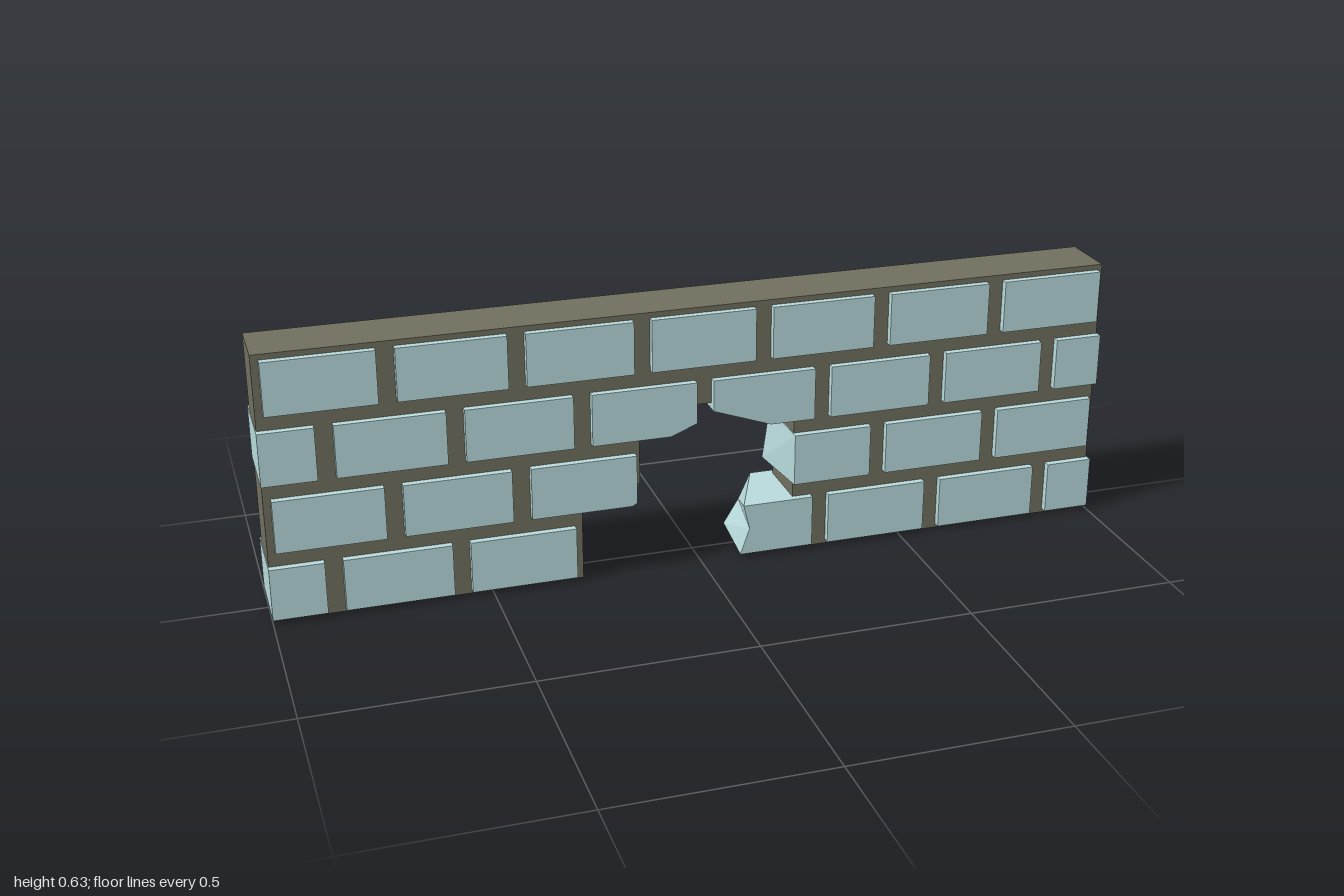
import * as THREE from 'three';

const brickMaterial = new THREE.MeshStandardMaterial({ color: 0xb8dadc, flatShading: true });
const mortarMaterial = new THREE.MeshStandardMaterial({ color: 0x706f5e, flatShading: true });

const MORTAR_HALF = 0.07, BRICK_HALF = 0.087;
const BRICK_W = 0.246, BRICK_H = 0.125, PITCH = 0.287;
const ROW_Y = [0.01, 0.173, 0.335, 0.497];

// Solid between a front and a back outline (same point count, counter-clockwise from the front)
function loft(front, back) {
  const n = front.length, pos = [];
  const at = (outline, z, i) => pos.push(outline[i][0], outline[i][1], z);
  const triangles = (outline) =>
    THREE.ShapeUtils.triangulateShape(outline.map(([x, y]) => new THREE.Vector2(x, y)), []);
  for (const t of triangles(front)) t.forEach((i) => at(front, BRICK_HALF, i));
  for (const [a, b, c] of triangles(back)) [a, c, b].forEach((i) => at(back, -BRICK_HALF, i));
  for (let i = 0; i < n; i++) {
    const j = (i + 1) % n;
    at(front, BRICK_HALF, i); at(back, -BRICK_HALF, i); at(back, -BRICK_HALF, j);
    at(front, BRICK_HALF, i); at(back, -BRICK_HALF, j); at(front, BRICK_HALF, j);
  }
  const geometry = new THREE.BufferGeometry();
  geometry.setAttribute('position', new THREE.Float32BufferAttribute(pos, 3));
  geometry.computeVertexNormals();
  return geometry;
}

function createMortar() {
  // Wall outline with the stepped breach at the bottom
  const outline = [
    [-0.998, 0], [-0.285, 0], [-0.285, 0.22], [-0.147, 0.22], [-0.147, 0.4],
    [0.227, 0.4], [0.227, 0], [0.998, 0], [0.998, 0.635], [-0.998, 0.635],
  ].map(([x, y]) => new THREE.Vector2(x, y));
  const geometry = new THREE.ExtrudeGeometry(new THREE.Shape(outline),
    { depth: 2 * MORTAR_HALF, bevelEnabled: false });
  geometry.translate(0, 0, -MORTAR_HALF);
  const mesh = new THREE.Mesh(geometry, mortarMaterial);
  mesh.name = 'mortar';
  return mesh;
}

// Bricks around the breach: front and back outlines
const BROKEN = {
  footBrick: [
    [[0.272, 0.01], [0.272, 0.135], [0.1, 0.135], [0.115, 0.075], [0.093, 0.01]],
    [[0.272, 0.01], [0.272, 0.135], [0.175, 0.135], [0.145, 0.07], [0.108, 0.01]],
  ],
  rightSideBrick: [
    [[0.414, 0.173], [0.414, 0.298], [0.225, 0.298], [0.225, 0.173]],
    [[0.414, 0.173], [0.414, 0.298], [0.222, 0.298], [0.205, 0.173]],
  ],
  leftSideBrick: [
    [[-0.405, 0.173], [-0.17, 0.173], [-0.158, 0.18], [-0.158, 0.298], [-0.405, 0.298]],
    [[-0.405, 0.173], [-0.22, 0.173], [-0.158, 0.23], [-0.158, 0.298], [-0.405, 0.298]],
  ],
  leftArchBrick: [
    [[-0.261, 0.335], [-0.077, 0.335], [-0.014, 0.36], [-0.014, 0.46], [-0.261, 0.46]],
    [[-0.261, 0.335], [-0.13, 0.335], [-0.014, 0.395], [-0.014, 0.46], [-0.261, 0.46]],
  ],
  rightArchBrick: [
    [[0.165, 0.335], [0.272, 0.335], [0.272, 0.46], [0.025, 0.46], [0.025, 0.385]],
    [[0.17, 0.335], [0.272, 0.335], [0.272, 0.46], [0.025, 0.46], [0.025, 0.385]],
  ],
};

export function createModel() {
  const group = new THREE.Group();
  group.name = 'brokenBrickWall';
  group.add(createMortar());

  const bricks = new THREE.Group();
  bricks.name = 'bricks';
  group.add(bricks);

  // Whole bricks; slots taken by the breach or by broken bricks are skipped
  const skipped = [[3, 4], [2, 3, 4], [3, 4], []];
  ROW_Y.forEach((y, row) => {
    const offsetRow = row % 2 === 0;
    const count = offsetRow ? 8 : 7;
    const start = offsetRow ? -1.123 : -0.981;
    for (let i = 0; i < count; i++) {
      if (skipped[row].includes(i)) continue;
      const x0 = Math.max(start + i * PITCH, -1);
      const x1 = Math.min(start + i * PITCH + BRICK_W, 1);
      const mesh = new THREE.Mesh(
        new THREE.BoxGeometry(x1 - x0, BRICK_H, 2 * BRICK_HALF), brickMaterial);
      mesh.position.set((x0 + x1) / 2, y + BRICK_H / 2, 0);
      mesh.name = x1 - x0 < 0.2 ? 'halfBrick' : 'brick';
      bricks.add(mesh);
    }
  });

  for (const [name, [front, back]] of Object.entries(BROKEN)) {
    const mesh = new THREE.Mesh(loft(front, back), brickMaterial);
    mesh.name = name;
    bricks.add(mesh);
  }
  return group;
}
